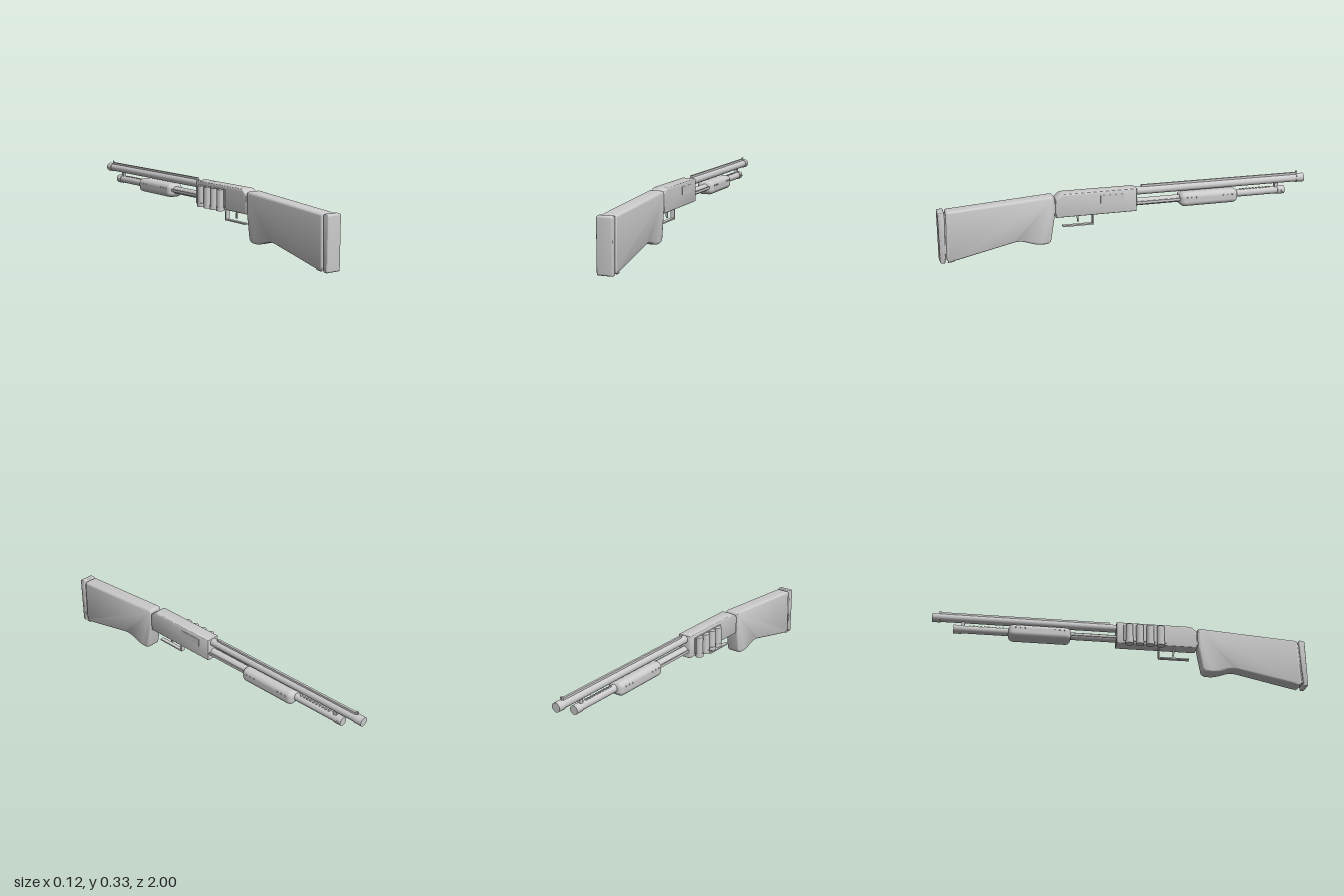
import * as THREE from 'three';
import { toCreasedNormals } from 'three/addons/utils/BufferGeometryUtils.js';
import { RoundedBoxGeometry } from 'three/addons/geometries/RoundedBoxGeometry.js';

const CX = 0.01; // centre line of the body

export function createModel() {
  const group = new THREE.Group();
  const mat = new THREE.MeshStandardMaterial({ color: 0xcccccc });

  const add = (name, geo, x = 0, y = 0, z = 0) => {
    const mesh = new THREE.Mesh(geo, mat);
    mesh.name = name;
    mesh.position.set(x, y, z);
    group.add(mesh);
    return mesh;
  };
  const box = (name, w, h, d, x, y, z) => add(name, new THREE.BoxGeometry(w, h, d), x, y, z);

  // Cylinder lying along z between two ends
  const rod = (name, r, z0, z1, y, x = CX, sides = 32) =>
    add(name, new THREE.CylinderGeometry(r, r, Math.abs(z1 - z0), sides).rotateX(Math.PI / 2), x, y, (z0 + z1) / 2);

  // Side profile of [z, y, cornerRadius], extruded across x with rounded edges
  const profile = (name, pts, width, bevel) => {
    const shape = new THREE.Shape();
    const n = pts.length;
    pts.forEach(([z, y, r], i) => {
      const p = new THREE.Vector2(z, y);
      const toward = ([a, b]) => new THREE.Vector2(a, b).sub(p).setLength(r).add(p);
      const a = toward(pts[(i + n - 1) % n]);
      const b = toward(pts[(i + 1) % n]);
      if (i) shape.lineTo(a.x, a.y);
      else shape.moveTo(a.x, a.y);
      shape.quadraticCurveTo(z, y, b.x, b.y);
    });
    shape.closePath();
    const geo = new THREE.ExtrudeGeometry(shape, {
      depth: width - 2 * bevel, bevelEnabled: true, bevelThickness: bevel,
      bevelSize: bevel, bevelOffset: -bevel, bevelSegments: 4, curveSegments: 5,
    });
    geo.translate(0, 0, bevel - width / 2).rotateY(-Math.PI / 2);
    return add(name, toCreasedNormals(geo, 0.6), CX);
  };

  // Stock and butt pad
  profile('stock', [
    [0.96, 0.266, 0.012], [0.968, 0.003, 0.025], [0.93, 0.007, 0.02], [0.595, 0.081, 0.03],
    [0.495, 0.048, 0.03], [0.432, 0.052, 0.022], [0.407, 0.2, 0.03], [0.407, 0.304, 0.015],
  ], 0.08, 0.011);
  profile('buttPad', [
    [1.0, 0.267, 0.009], [1.0, 0.002, 0.009], [0.974, 0.0, 0.009], [0.966, 0.269, 0.009],
  ], 0.08, 0.006);
  box('padSpacer', 0.064, 0.23, 0.03, CX, 0.135, 0.967);
  box('stockNeck', 0.06, 0.075, 0.04, CX, 0.245, 0.41);

  // Receiver with sloped rear top edge
  profile('receiver', [
    [-0.032, 0.187, 0.004], [-0.032, 0.311, 0.004], [0.37, 0.311, 0.012],
    [0.403, 0.285, 0.01], [0.403, 0.187, 0.006],
  ], 0.076, 0.007);
  box('ejectionPortCover', 0.004, 0.042, 0.13, CX + 0.0375, 0.268, 0.1);

  // Barrel, muzzle ring, rib and sight
  rod('barrel', 0.021, -0.02, -0.97, 0.288);
  rod('muzzleRing', 0.024, -0.957, -1.0, 0.288);
  box('barrelRib', 0.012, 0.014, 0.89, CX, 0.312, -0.51);
  box('frontSight', 0.007, 0.022, 0.01, CX, 0.316, -0.96);

  // Magazine tube, cap, barrel bracket and sling stud
  rod('magazineTube', 0.02, -0.02, -0.86, 0.228);
  rod('magazineCap', 0.023, -0.845, -0.886, 0.228);
  box('barrelBracket', 0.016, 0.05, 0.02, CX, 0.257, -0.84);
  const stud = rod('slingStud', 0.006, 0, 0.012, 0.228, CX + 0.023, 12);
  stud.rotation.y = Math.PI / 2;
  stud.position.z = -0.868;
  for (let i = 0; i < 10; i++) {
    box('tubeNotch', 0.012, 0.005, 0.009, CX, 0.249, -0.63 - i * 0.019);
  }

  // Sliding forend, action bars and rivets
  add('forend', new RoundedBoxGeometry(0.094, 0.075, 0.328, 5, 0.027), CX, 0.225, -0.438);
  for (const side of [-1, 1]) {
    box('actionBar', 0.005, 0.014, 0.27, CX + side * 0.027, 0.228, -0.16);
    for (const z of [-0.31, -0.335, -0.36, -0.515, -0.54, -0.565]) {
      add('forendRivet', new THREE.SphereGeometry(0.004, 10, 8), CX + side * 0.0455, 0.238, z);
    }
  }

  // Trigger and open guard
  box('guardBottom', 0.022, 0.007, 0.165, CX, 0.13, 0.278);
  box('guardFront', 0.022, 0.064, 0.007, CX, 0.158, 0.199);
  const trigger = box('trigger', 0.01, 0.045, 0.008, CX, 0.169, 0.28);
  trigger.rotation.x = 0.15;

  // Side carrier with four spare shells, rims down
  box('shellCarrier', 0.006, 0.09, 0.23, CX - 0.04, 0.247, 0.12);
  for (const z of [0.035, 0.091, 0.147, 0.203]) {
    add('shellCase', new THREE.CylinderGeometry(0.02, 0.02, 0.1, 20), -0.038, 0.241, z);
    add('shellRim', new THREE.CylinderGeometry(0.022, 0.022, 0.02, 20), -0.038, 0.191, z);
  }

  return group;
}
